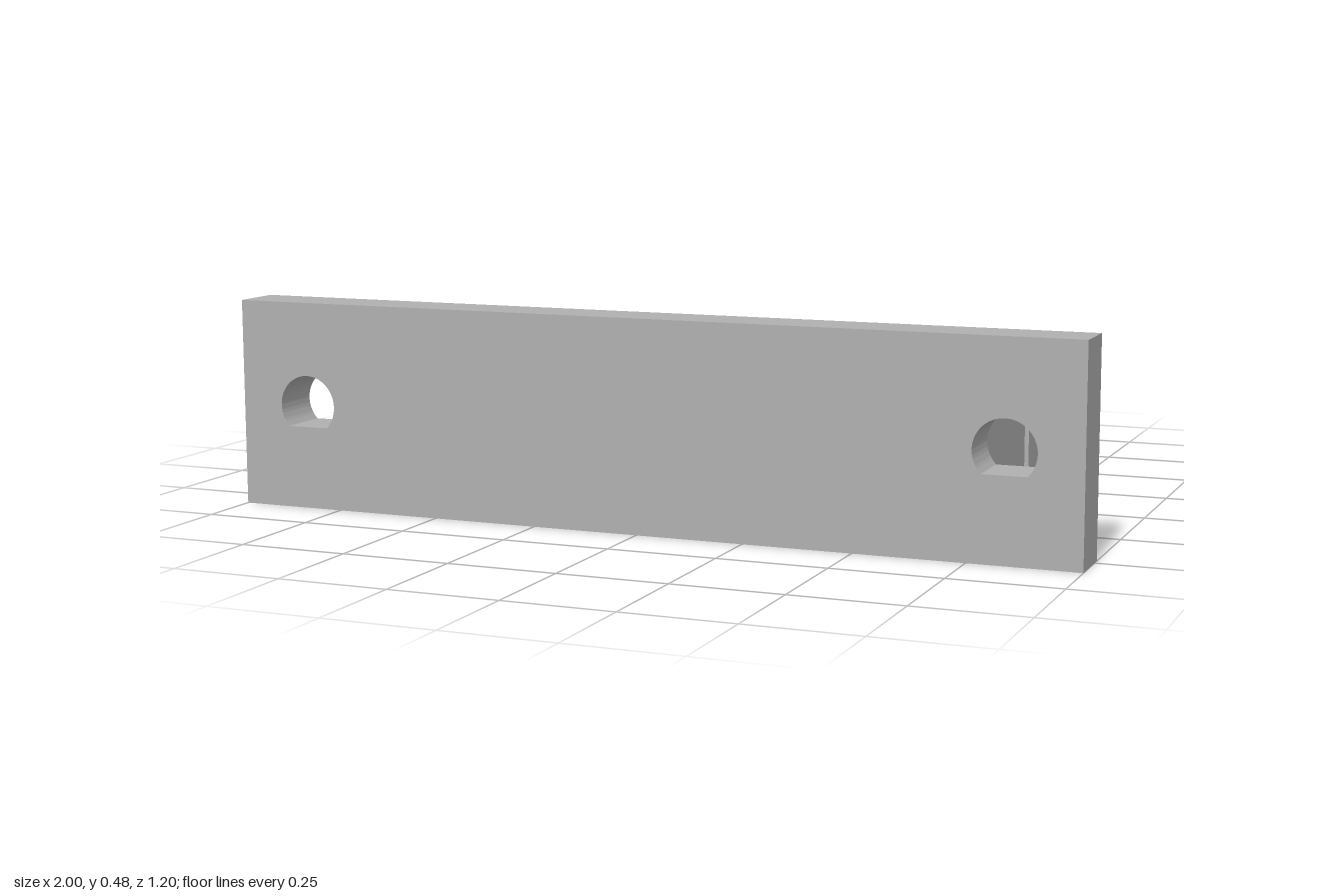
import * as THREE from 'three';
import { toCreasedNormals } from 'three/addons/utils/BufferGeometryUtils.js';

const grey = new THREE.MeshStandardMaterial({ color: 0xb0b0b0 });
grey.name = 'grey plastic';

// Closed outline from a few points
function outline(points) {
  return new THREE.Shape(points.map(([x, y]) => new THREE.Vector2(x, y)));
}

function rect(x0, y0, x1, y1) {
  return outline([[x0, y0], [x1, y0], [x1, y1], [x0, y1]]);
}

function circle(x, y, r) {
  return new THREE.Path().absarc(x, y, r, 0, Math.PI * 2, true);
}

// Round hole with a point at the bottom
function teardrop(x, y, r) {
  const path = new THREE.Path();
  path.moveTo(x, y - r * Math.SQRT2);
  path.absarc(x, y, r, -Math.PI / 4, Math.PI * 1.25, false);
  path.closePath();
  return path;
}

function extrude(shape, depth) {
  return new THREE.ExtrudeGeometry(shape, { depth, bevelEnabled: false, curveSegments: 40 });
}

export function createModel() {
  const group = new THREE.Group();
  group.name = 'mountingBracket';

  function add(name, geometry) {
    const mesh = new THREE.Mesh(toCreasedNormals(geometry, 0.5), grey);
    mesh.name = name;
    group.add(mesh);
  }

  // Solid extruded along z between z0 and z1
  const addAlongZ = (name, shape, z0, z1) =>
    add(name, extrude(shape, z1 - z0).translate(0, 0, z0));

  // Front flange with two screw holes
  const flange = rect(-1, 0, 1, 0.48);
  for (const side of [-1, 1]) flange.holes.push(teardrop(side * 0.83, 0.24, 0.07));
  addAlongZ('frontFlange', flange, 0.48, 0.6);

  // Base body in two layers: small bore below, counterbore above.
  // The rod hole opens into the clamping slot; the outline uses (x, -z).
  const mouth = Math.asin(0.2);
  function baseLayer(boreRadius) {
    const s = new THREE.Shape();
    s.moveTo(-0.66, -0.48);
    s.lineTo(0.4, -0.48);
    s.lineTo(0.4, 0.22);
    s.absarc(0.225, 0.24, 0.1, -mouth, mouth, true);
    s.lineTo(0.4, 0.26);
    s.lineTo(0.4, 0.6);
    s.lineTo(-0.66, 0.6);
    s.closePath();
    s.holes.push(circle(-0.3, 0.24, boreRadius));
    return s;
  }
  for (const [name, radius, y0, y1] of [
    ['baseLower', 0.135, 0, 0.08],
    ['baseUpper', 0.27, 0.08, 0.24],
  ]) {
    add(name, extrude(baseLayer(radius), y1 - y0).rotateX(-Math.PI / 2).translate(0, y0, 0));
  }

  // Clamp jaws either side of the slot, drilled for the clamp screw
  const jaw = rect(0.4, 0, 0.66, 0.24);
  jaw.holes.push(teardrop(0.49, 0.12, 0.04));
  addAlongZ('rearClampJaw', jaw, -0.6, -0.26);
  addAlongZ('frontClampJaw', jaw, -0.22, -0.175);

  // Nut pocket open at the top
  addAlongZ('nutPocket', outline([
    [0.4, 0], [0.66, 0], [0.66, 0.24], [0.56, 0.24],
    [0.56, 0.05], [0.42, 0.05], [0.42, 0.24], [0.4, 0.24],
  ]), -0.175, -0.115);
  addAlongZ('baseSide', rect(0.4, 0, 0.66, 0.24), -0.115, 0.48);

  // Sloping gussets, profile drawn in (-z, y) and turned to run along x
  const gusset = outline([[-0.48, 0.24], [0.165, 0.24], [-0.48, 0.48]]);
  for (const [name, x] of [['rightGusset', -0.66], ['leftGusset', 0.57]]) {
    add(name, extrude(gusset, 0.09).rotateY(Math.PI / 2).translate(x, 0, 0));
  }

  return group;
}
